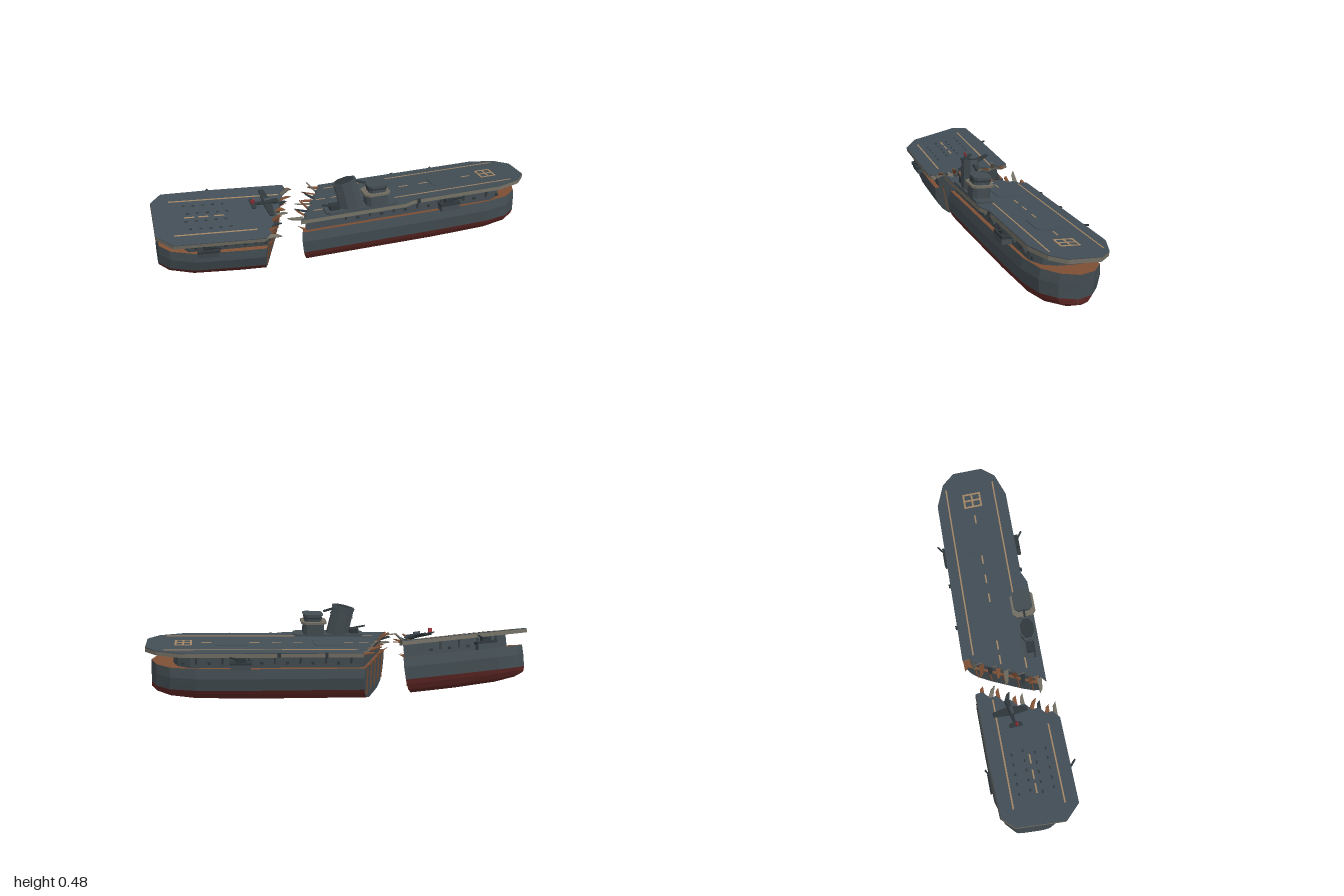
import * as THREE from 'three';

const mat = (name, color) => Object.assign(new THREE.MeshStandardMaterial({ color }), { name });
const M = {
  hull: mat('hull grey', 0x424c51), deck: mat('deck slate', 0x424d55), khaki: mat('weathered khaki', 0x716d62),
  red: mat('antifouling red', 0x602825), rust: mat('rust brown', 0x7e4f34), tan: mat('marking tan', 0xa08465),
  dark: mat('dark steel', 0x2f373b), signal: mat('signal red', 0x983034),
};

function add(parent, name, geo, material, x = 0, y = 0, z = 0) {
  const m = new THREE.Mesh(geo, material);
  m.name = name;
  m.position.set(x, y, z);
  parent.add(m);
  return m;
}
const box = (p, name, w, h, d, material, x, y, z) => add(p, name, new THREE.BoxGeometry(w, h, d), material, x, y, z);

// Flat plate from an (x, z) outline, between two heights
function plateGeometry(pts, depth) {
  const shape = new THREE.Shape(pts.map(([x, z]) => new THREE.Vector2(x, -z)));
  return new THREE.ExtrudeGeometry(shape, { depth, bevelEnabled: false }).rotateX(-Math.PI / 2);
}
const plate = (parent, name, pts, y0, y1, material) => add(parent, name, plateGeometry(pts, y1 - y0), material, 0, y0, 0);
// Rectangle outline with cut corners
const octagon = (x, z, a, b, c) => [[a, b - c], [a - c, b], [c - a, b], [-a, b - c], [-a, c - b], [c - a, -b], [a - c, -b], [a, c - b]]
  .map(([u, v]) => [x + u, z + v]);

// Faceted geometry from a flat list of triangle corner points
function facets(points) {
  const g = new THREE.BufferGeometry().setFromPoints(points);
  g.computeVertexNormals();
  return g;
}
function skin(rows, from, to) {
  const out = [];
  for (let i = 0; i < rows.length - 1; i++) for (let j = from; j < to; j++) {
    const a = rows[i][j], b = rows[i + 1][j], c = rows[i + 1][j + 1], d = rows[i][j + 1];
    out.push(a, b, c, a, c, d);
  }
  return facets(out);
}
function cap(row, flip) {
  const out = [];
  for (let j = 1; j < row.length - 2; j++) out.push(row[0], row[flip ? j + 1 : j], row[flip ? j : j + 1]);
  return facets(out);
}

// Hull half: stations are [x, width factor, keel lift, slant of the section]
const TOP = 0.19, WATERLINE = 0.075;
const HALF = [[0.181, TOP], [0.19, 0.14], [0.178, WATERLINE], [0.165, 0.05], [0.14, 0.02], [0.08, 0]];
function buildHull(parent, stations) {
  const section = [...HALF.map(([z, y]) => [-z, y]), ...[...HALF].reverse(), [-HALF[0][0], TOP]];
  const rows = stations.map(([x, s, lift, slant]) => section.map(([z, y]) =>
    new THREE.Vector3(x + slant * z * s, y + lift * Math.max(0, 1 - y / WATERLINE), z * s)));
  add(parent, 'hullSideRight', skin(rows, 0, 2), M.hull);
  add(parent, 'hullBottom', skin(rows, 2, 9), M.red);
  add(parent, 'hullSideLeft', skin(rows, 9, 11), M.hull);
  add(parent, 'hullTopDeck', skin(rows, 11, 12), M.rust);
  add(parent, 'hullAftCap', cap(rows[0], false), M.hull);
  add(parent, 'hullForeCap', cap(rows[rows.length - 1], true), M.hull);
}

// Torn edge points along the slanted break, from z0 to z1
function tear(x0, slant, z0, z1, n = 12) {
  return Array.from({ length: n + 1 }, (_, i) => {
    const z = z0 + (z1 - z0) * i / n;
    return [x0 + slant * z + (i % 2 ? 0.014 : -0.008), z];
  });
}
// Bent splinters and bare ribs on the break; dir is the way the break faces in x
function wreckage(parent, x0, slant, dir) {
  const g = new THREE.Group();
  g.name = 'breakWreckage';
  parent.add(g);
  const mats = [M.rust, M.khaki, M.rust, M.dark], tilts = [0.15, 0.9, 0.3, 0.65, 0.1];
  for (let i = 0; i < 10; i++) {
    const z = -0.18 + i * 0.04, len = 0.048 + 0.008 * ((i * 7) % 4);
    const outline = [[-0.01, 0.013], [len, 0.01], [len * 0.7, -0.006], [-0.01, -0.013]];
    const m = add(g, 'splinter', plateGeometry(outline, 0.006), mats[i % 4], x0 + slant * z - dir * 0.002, 0.266, z);
    m.rotation.set(0.25 * Math.sin(i * 2.3), dir < 0 ? Math.PI : 0, tilts[i % 5]);
  }
  for (let i = 0; i < 5; i++) {
    const z = -0.14 + i * 0.07;
    const rib = box(g, 'rib', 0.008, 0.15, 0.005, M.rust, x0 + slant * z + dir * 0.002, 0.115, z);
    rib.rotation.y = Math.atan(slant);
    const spike = add(g, 'ribSpike', new THREE.ConeGeometry(0.007, 0.05, 4), M.rust, x0 + slant * z + dir * 0.015, 0.2, z);
    spike.rotation.z = -dir * (1.1 + 0.25 * Math.sin(i * 3));
  }
}

// Gun platform with one trained barrel; side is +1 or -1 in z
function sponson(parent, x, side) {
  const g = new THREE.Group();
  g.name = 'gunSponson';
  g.position.set(x, 0.205, side * 0.175);
  parent.add(g);
  box(g, 'sponsonBase', 0.1, 0.03, 0.07, M.hull, 0, 0, 0);
  box(g, 'sponsonRim', 0.11, 0.012, 0.066, M.dark, 0, 0.02, side * 0.004);
  box(g, 'gunShield', 0.05, 0.026, 0.03, M.dark, 0, 0.036, side * 0.012);
  const aim = new THREE.Vector3(0.7, 0.32, side * 0.6).normalize();
  const b = add(g, 'gunBarrel', new THREE.CylinderGeometry(0.005, 0.006, 0.075, 6), M.dark);
  b.quaternion.setFromUnitVectors(new THREE.Vector3(0, 1, 0), aim);
  b.position.set(0, 0.036, side * 0.012).addScaledVector(aim, 0.037);
}
// Deck brackets and scuttles along both hangar walls
function wallFittings(parent, x0, x1, step) {
  for (const s of [-1, 1]) for (let x = x0; x <= x1; x += step) {
    const b = box(parent, 'deckBracket', 0.008, 0.05, 0.012, M.hull, x, 0.237, s * 0.172);
    b.rotation.x = s * 0.5;
    box(parent, 'scuttle', 0.016, 0.014, 0.006, M.dark, x + step / 2, 0.215, s * 0.16);
  }
}
const paint = (p, x0, x1, z, w = 0.008) => box(p, 'deckStripe', x1 - x0, 0.002, w, M.tan, (x0 + x1) / 2, 0.2785, z);

function flightDeck(parent, outline) {
  plate(parent, 'deckSlab', outline, 0.254, 0.274, M.khaki);
  plate(parent, 'deckSurface', outline, 0.274, 0.278, M.deck);
}

function buildIsland(parent) {
  const g = new THREE.Group();
  g.name = 'island';
  g.position.set(0, 0, 0.167);
  parent.add(g);
  plate(g, 'podium', octagon(0.05, 0, 0.19, 0.046, 0.015), 0.278, 0.288, M.hull);
  plate(g, 'bridgeTower', octagon(0.132, 0, 0.056, 0.047, 0.018), 0.287, 0.346, M.hull);
  plate(g, 'bridgePlatform', octagon(0.132, 0, 0.068, 0.06, 0.02), 0.346, 0.357, M.khaki);
  plate(g, 'bridgeHouse', octagon(0.137, 0, 0.046, 0.044, 0.015), 0.357, 0.39, M.hull);
  plate(g, 'bridgeWindows', octagon(0.137, 0, 0.048, 0.046, 0.015), 0.372, 0.381, M.dark);
  plate(g, 'bridgeRoof', octagon(0.137, 0, 0.053, 0.048, 0.015), 0.39, 0.397, M.hull);
  // Leaning funnel
  const f = new THREE.Group();
  f.name = 'funnel';
  f.position.set(0, 0.285, 0);
  f.rotation.z = 0.2;
  g.add(f);
  const tube = (name, a, b, y0, y1, m) => add(f, name,
    new THREE.CylinderGeometry(a, b, y1 - y0, 8).toNonIndexed().rotateY(Math.PI / 8).scale(1.45, 1, 1), m, 0, (y0 + y1) / 2, 0)
    .geometry.computeVertexNormals();
  tube('funnelBody', 0.042, 0.043, -0.01, 0.145, M.hull);
  tube('funnelBand', 0.045, 0.045, 0.1, 0.106, M.hull);
  tube('funnelRim', 0.044, 0.044, 0.138, 0.152, M.hull);
  tube('funnelMouth', 0.037, 0.037, 0.148, 0.154, M.dark);
  const pipe = box(f, 'steamPipe', 0.05, 0.01, 0.01, M.dark, 0.08, 0.115, 0);
  pipe.rotation.z = -0.5;
  // Fallen director beside the funnel
  box(g, 'director', 0.05, 0.03, 0.045, M.dark, -0.09, 0.298, 0);
  box(g, 'directorArm', 0.07, 0.008, 0.008, M.dark, -0.12, 0.316, 0.015).rotation.z = -0.2;
}

function buildPlane(parent) {
  const g = new THREE.Group();
  g.name = 'wreckedPlane';
  g.position.set(0.25, 0.296, -0.055);
  g.rotation.set(0.12, 0.15, -0.06);
  parent.add(g);
  add(g, 'fuselage', new THREE.CylinderGeometry(0.015, 0.007, 0.14, 6).rotateZ(-Math.PI / 2), M.dark);
  add(g, 'nose', new THREE.ConeGeometry(0.015, 0.02, 6).rotateZ(-Math.PI / 2), M.hull, 0.08, 0, 0);
  plate(g, 'wings', [[0.04, 0], [0.025, 0.095], [0, 0.095], [-0.008, 0], [0, -0.095], [0.025, -0.095]].reverse(), -0.006, 0, M.dark);
  plate(g, 'tailplane', [[-0.045, 0], [-0.055, 0.035], [-0.075, 0.035], [-0.075, -0.035], [-0.055, -0.035]], 0, 0.005, M.dark);
  box(g, 'tailFin', 0.02, 0.026, 0.005, M.signal, -0.066, 0.018, 0).rotation.z = 0.25;
  box(g, 'canopy', 0.035, 0.012, 0.014, M.hull, 0.012, 0.016, 0);
}

function buildForeHalf() {
  const g = new THREE.Group();
  g.name = 'foreHalf';
  const k = -0.456, x0 = -0.17;
  buildHull(g, [[x0 - 0.014, 1, 0, k], [0, 1, 0, 0], [0.45, 1, 0, 0], [0.75, 0.96, 0.006, 0], [0.88, 0.8, 0.018, 0],
    [0.95, 0.46, 0.033, 0], [0.98, 0.005, 0.048, 0]]);
  plate(g, 'hangar', [[x0 - k * 0.158, -0.158], [0.78, -0.158], [0.84, -0.12], [0.865, -0.06], [0.865, 0.06], [0.84, 0.12],
    [0.78, 0.158], [x0 + k * 0.158, 0.158]], TOP, 0.256, M.hull);
  flightDeck(g, [[0.82, -0.195], [0.945, -0.147], [1.003, -0.08], [1.003, 0.08], [0.945, 0.147], [0.82, 0.19],
    [0.34, 0.19], [0.28, 0.215], ...tear(x0, k, 0.215, -0.195)]);
  wreckage(g, x0 - 0.014, k, -1);
  wallFittings(g, -0.03, 0.76, 0.13);
  sponson(g, 0.53, 1);
  sponson(g, 0.53, -1);
  buildIsland(g);
  // Deck lifts and markings
  for (const x of [0.07, 0.57]) plate(g, 'deckLift', octagon(x, 0, 0.08, 0.065, 0.018), 0.277, 0.281, M.deck);
  paint(g, -0.07, 0.91, -0.135);
  paint(g, -0.19, 0.91, 0.128);
  for (const x of [-0.12, -0.04, 0.23, 0.34, 0.455, 0.7]) paint(g, x - 0.025, x + 0.025, 0);
  for (const z of [-0.045, 0, 0.045]) paint(g, 0.775, 0.86, z, 0.01);
  for (const x of [0.779, 0.818, 0.856]) box(g, 'landingBox', 0.01, 0.002, 0.095, M.tan, x, 0.2785, 0);
  for (const [x, z] of [[0.1, -0.198], [0.34, -0.198], [0.36, 0.193]]) box(g, 'edgeFitting', 0.015, 0.022, 0.012, M.dark, x, 0.268, z);
  g.rotation.set(-0.09, 0, 0.025);
  g.position.set(0, 0.012, -0.006);
  return g;
}

function buildAftHalf() {
  const g = new THREE.Group();
  g.name = 'aftHalf';
  const k = -0.413, x0 = 0.3;
  buildHull(g, [[-0.3, 0.5, 0.038, 0], [-0.25, 0.78, 0.022, 0], [-0.13, 0.97, 0.007, 0], [0.1, 1, 0, 0], [x0, 1, 0, k]]);
  plate(g, 'hangar', [[-0.21, -0.1], [-0.16, -0.158], [x0 - k * 0.158, -0.158], [x0 + k * 0.158, 0.158], [-0.16, 0.158],
    [-0.21, 0.1]], TOP, 0.256, M.hull);
  flightDeck(g, [[-0.318, -0.135], [-0.262, -0.2], [0, -0.21], ...tear(x0, k, -0.213, 0.2), [-0.24, 0.2], [-0.318, 0.122]]);
  wreckage(g, x0, k, 1);
  wallFittings(g, -0.13, 0.18, 0.1);
  sponson(g, -0.07, 1);
  sponson(g, -0.07, -1);
  buildPlane(g);
  paint(g, -0.23, 0.34, -0.132);
  paint(g, -0.23, 0.18, 0.13);
  for (const x of [-0.14, -0.07, 0.01]) paint(g, x - 0.025, x + 0.025, 0);
  // Scorched slots in the deck
  for (let i = 0; i < 5; i++) for (let j = 0; j < 4; j++) {
    box(g, 'deckSlot', 0.014, 0.003, 0.008, M.dark, -0.16 + i * 0.05 + (j % 2) * 0.015, 0.279, -0.09 + j * 0.06);
  }
  g.rotation.set(0.2, 0, -0.075);
  g.position.set(-0.7, 0.033, -0.025);
  return g;
}

export function createModel() {
  const model = new THREE.Group();
  model.name = 'brokenCarrier';
  model.add(buildForeHalf(), buildAftHalf());
  return model;
}
